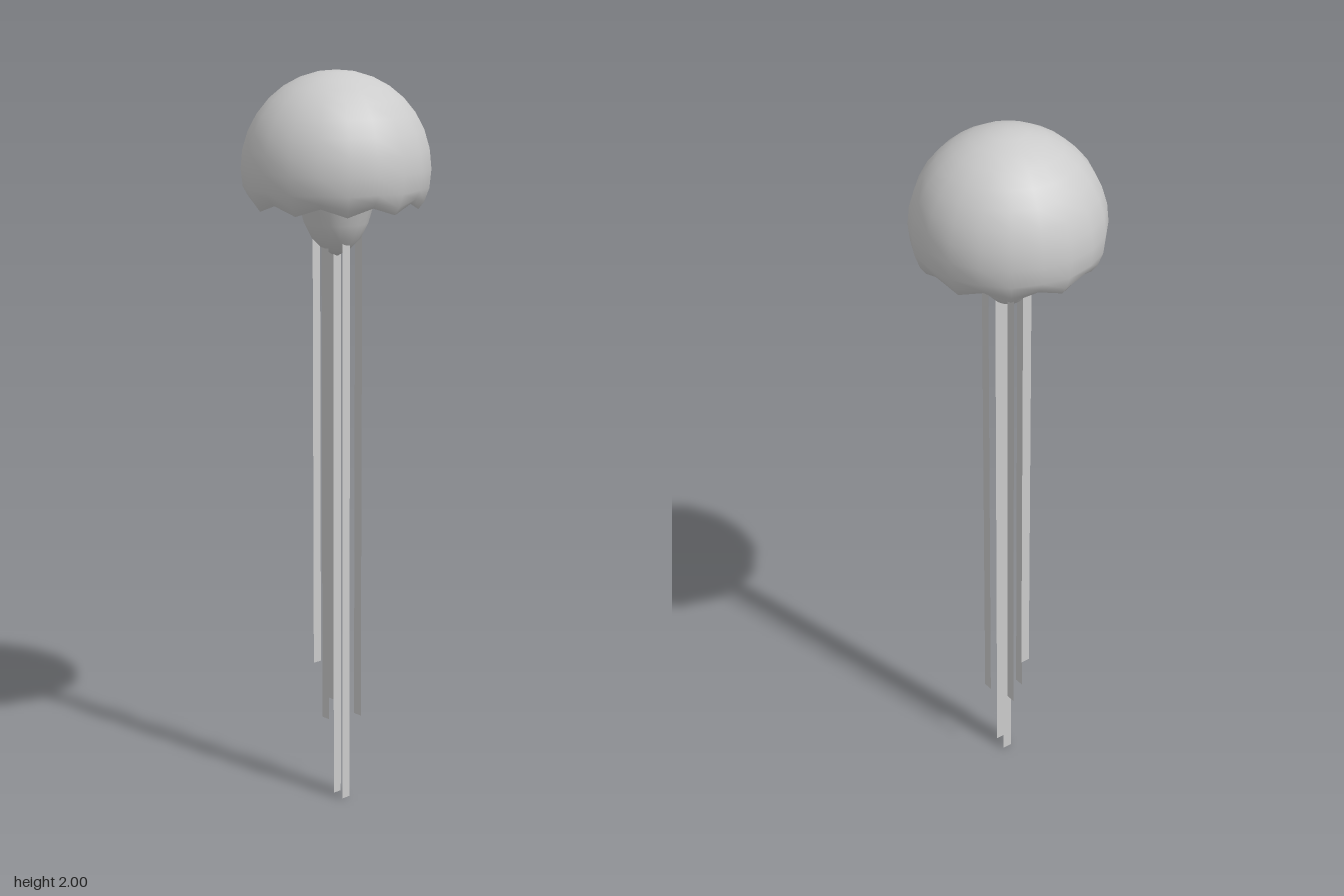
import * as THREE from 'three';
import { mergeVertices } from 'three/addons/utils/BufferGeometryUtils.js';

const SIDES = 20;
const material = new THREE.MeshStandardMaterial({ color: 0xcccccc, side: THREE.DoubleSide });

// Smooth lathe whose rim is lifted at every second corner to form ten lobes
function scallopedLathe(name, profile) {
  const geo = new THREE.LatheGeometry(profile.map(([r, y]) => new THREE.Vector2(r, y)), SIDES);
  const pos = geo.attributes.position;
  const rows = profile.length;
  for (let i = 0; i < pos.count; i++) {
    const [r, y] = profile[i % rows];
    const column = Math.floor(i / rows);
    const nearRim = r > 0.17 && y < 1.71 ? 1 - (y - 1.645) / 0.065 : 0;
    if (column % 2 === 0) pos.setY(i, y + 0.022 * nearRim);
  }
  geo.deleteAttribute('uv');
  geo.deleteAttribute('normal');
  const smooth = mergeVertices(geo, 1e-5);
  smooth.computeVertexNormals();
  const mesh = new THREE.Mesh(smooth, material);
  mesh.name = name;
  return mesh;
}

// Flat hanging ribbon, facing z or turned to face x
function ribbon(x, z, bottom, top, facesX) {
  const mesh = new THREE.Mesh(new THREE.PlaneGeometry(0.027, top - bottom), material);
  mesh.position.set(x, (top + bottom) / 2, z);
  if (facesX) mesh.rotation.y = Math.PI / 2;
  mesh.name = 'tentacle';
  return mesh;
}

export function createModel() {
  const group = new THREE.Group();
  group.name = 'jellyfish';

  // Domed bell: rim, then a sphere section up to the crown
  const dome = [[0.217, 1.645], [0.232, 1.665]];
  const start = Math.asin(-0.05 / 0.25);
  for (let i = 0; i <= 9; i++) {
    const a = start + (Math.PI / 2 - start) * (i / 9);
    dome.push([i === 9 ? 0 : 0.25 * Math.cos(a), 1.75 + 0.25 * Math.sin(a)]);
  }
  group.add(scallopedLathe('bell', dome));

  // Hollow underside with the central mouth stalk
  group.add(scallopedLathe('underside', [
    [0, 1.515], [0.035, 1.535], [0.065, 1.565], [0.085, 1.605], [0.098, 1.65],
    [0.115, 1.69], [0.145, 1.715], [0.18, 1.7], [0.205, 1.67], [0.217, 1.645],
  ]));

  // Tentacles: x, z, bottom, top, facing x
  const tentacles = new THREE.Group();
  tentacles.name = 'tentacles';
  for (const t of [
    [-0.06, -0.038, 0.25, 1.58, false],
    [0, 0.04, 0.23, 1.57, false],
    [0.04, -0.043, 0.23, 1.585, false],
    [0.049, 0.01, 0, 1.56, true],
    [0.004, 0, 0, 1.56, true],
    [-0.066, 0.01, 0.37, 1.57, true],
  ]) tentacles.add(ribbon(...t));
  group.add(tentacles);
  return group;
}
